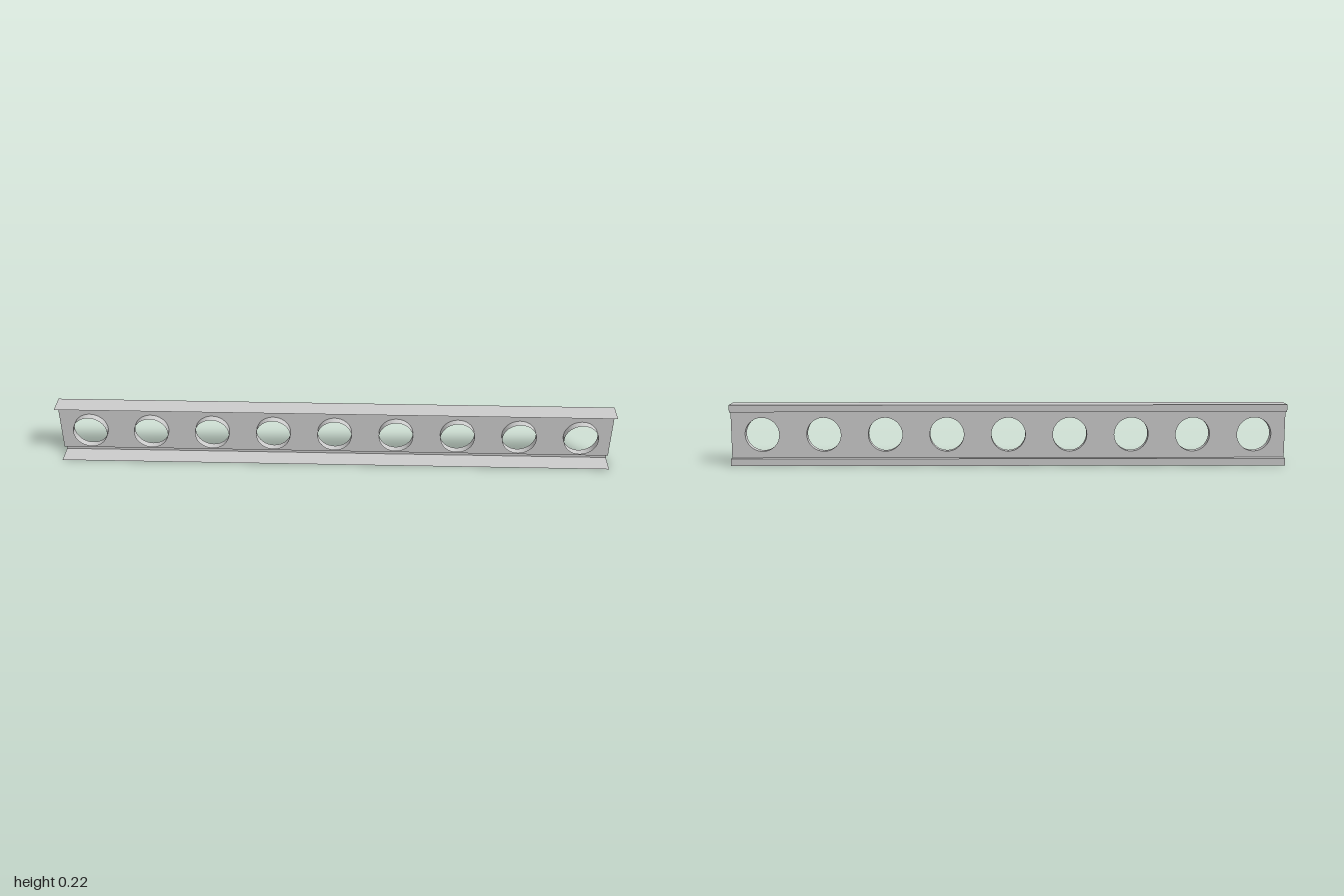
import * as THREE from 'three';

const LENGTH = 2, HEIGHT = 0.222, HALF_DEPTH = 0.036;
const LIP = 0.026, WEB_Z = -0.0125, RIM_Z = 0.0145;
const HOLES = 9, PITCH = LENGTH / HOLES, RADIUS = 0.0615;

export function createModel() {
  const group = new THREE.Group();
  const material = new THREE.MeshStandardMaterial({ color: 0xcccccc, side: THREE.DoubleSide });

  const add = (name, geometry, parent = group) => {
    const mesh = new THREE.Mesh(geometry, material);
    mesh.name = name;
    parent.add(mesh);
    return mesh;
  };
  const holeX = (i) => (i - (HOLES - 1) / 2) * PITCH;

  // Web: thin sheet pierced by a row of round holes
  const web = new THREE.Shape();
  web.moveTo(-LENGTH / 2, LIP);
  web.lineTo(LENGTH / 2, LIP);
  web.lineTo(LENGTH / 2, HEIGHT - LIP);
  web.lineTo(-LENGTH / 2, HEIGHT - LIP);
  web.closePath();
  for (let i = 0; i < HOLES; i++) {
    web.holes.push(new THREE.Path().absarc(holeX(i), HEIGHT / 2, RADIUS, 0, Math.PI * 2, true));
  }
  add('web', new THREE.ShapeGeometry(web, 24)).position.z = WEB_Z;

  // Flanges: each folds from the web back, out to the lip, then forward
  const strip = (name, parent, width, y, z, horizontal) => {
    const geometry = new THREE.PlaneGeometry(LENGTH, width);
    if (horizontal) geometry.rotateX(-Math.PI / 2);
    add(name, geometry, parent).position.set(0, y, z);
  };
  for (const [name, edge, dir] of [['bottomFlange', 0, 1], ['topFlange', HEIGHT, -1]]) {
    const flange = new THREE.Group();
    flange.name = name;
    group.add(flange);
    strip('flangePlate', flange, HALF_DEPTH * 2, edge, 0, true);
    strip('flangeLip', flange, LIP, edge + dir * LIP / 2, -HALF_DEPTH, false);
    strip('flangeStep', flange, WEB_Z + HALF_DEPTH, edge + dir * LIP, (WEB_Z - HALF_DEPTH) / 2, true);
  }

  // Collars standing forward around the holes
  const collar = new THREE.CylinderGeometry(RADIUS, RADIUS, RIM_Z - WEB_Z, 48, 1, true);
  collar.rotateX(Math.PI / 2);
  for (let i = 0; i < HOLES; i++) {
    add('holeCollar', collar).position.set(holeX(i), HEIGHT / 2, (RIM_Z + WEB_Z) / 2);
  }
  return group;
}
